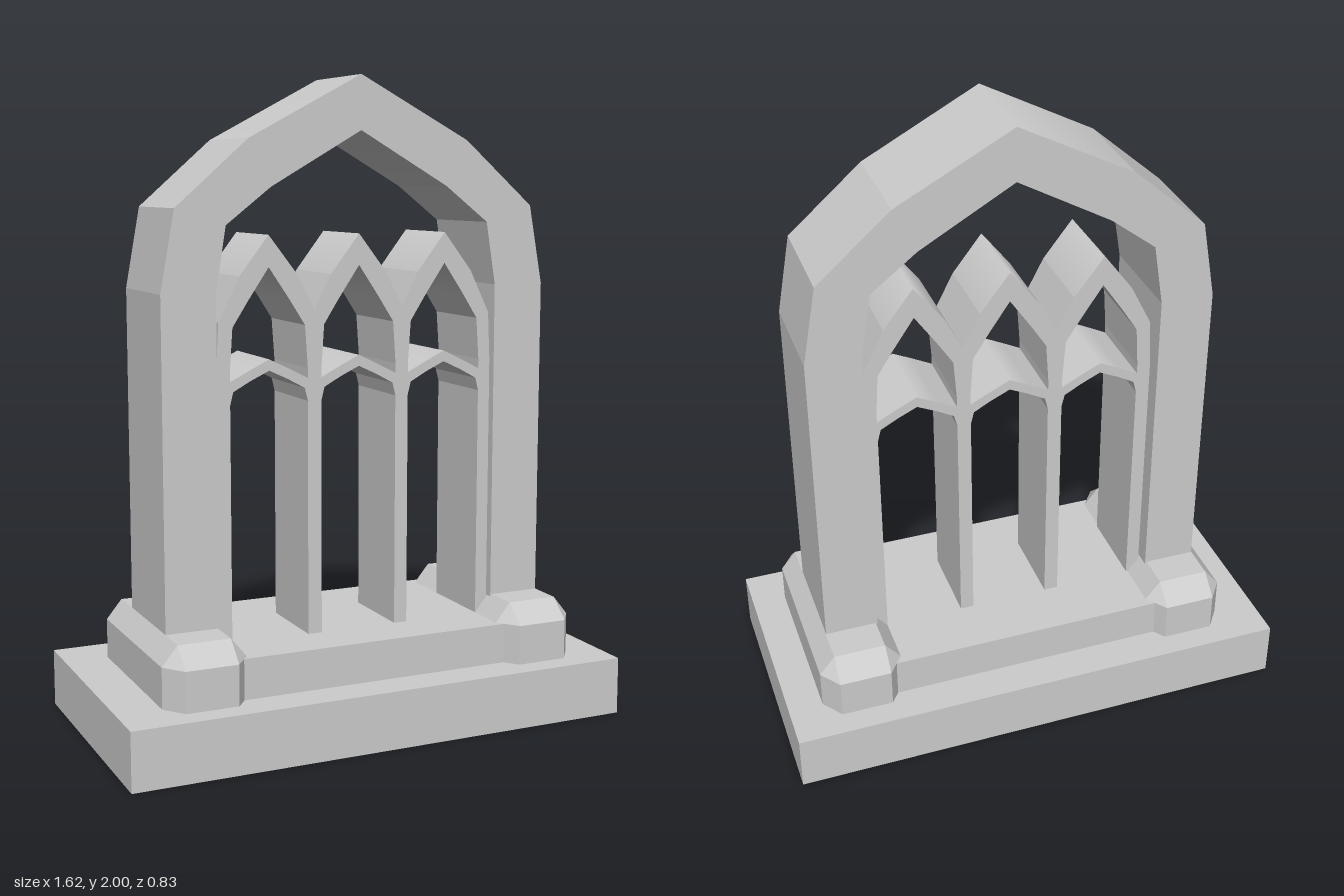
import * as THREE from 'three';
import { ConvexGeometry } from 'three/addons/geometries/ConvexGeometry.js';

const stone = new THREE.MeshStandardMaterial({ color: 0xcccccc });
const CX = 0.0145; // the arch sits slightly off the base centre

const vec = ([x, y]) => new THREE.Vector2(x, y);
const shift = (pts, dx) => pts.map(([x, y]) => [x + dx, y]);

// Completes a left half profile (ending on the axis) with its mirror image
const mirrored = (half) => [...half, ...half.slice(0, -1).reverse().map(([x, y]) => [-x, y])];

function addMesh(group, name, geometry, x = 0, y = 0, z = 0) {
  const mesh = new THREE.Mesh(geometry, stone);
  mesh.name = name;
  mesh.position.set(x, y, z);
  group.add(mesh);
}

// Extrudes a counter-clockwise outline with holes from z0 to z1,
// shading the walls smoothly over the points at the given apex positions
function slab(outline, holes, z0, z1, apexes) {
  const shape = new THREE.Shape(outline.map(vec));
  shape.holes = holes.map((h) => new THREE.Path(h.map(vec)));
  const geometry = new THREE.ExtrudeGeometry(shape, { depth: z1 - z0, bevelEnabled: false });
  const { position, normal } = geometry.attributes;
  for (let i = 0; i < position.count; i++) {
    const onApex = apexes.some((x) => Math.abs(position.getX(i) - x) < 1e-4);
    if (onApex && Math.abs(normal.getZ(i)) < 0.5) normal.setXYZ(i, 0, Math.sign(normal.getY(i)), 0);
  }
  return geometry.translate(0, 0, z0);
}

// Block with cut corners and a chamfered top
function plinthGeometry() {
  const [w, d, tw, td] = [0.131, 0.341, 0.082, 0.275];
  const pts = [];
  for (const sx of [-1, 1]) {
    for (const sz of [-1, 1]) {
      for (const y of [0.18, 0.305]) {
        pts.push(new THREE.Vector3(sx * w, y, sz * td), new THREE.Vector3(sx * tw, y, sz * d));
      }
      pts.push(new THREE.Vector3(sx * tw, 0.365, sz * td));
    }
  }
  return new ConvexGeometry(pts);
}

// Three pointed lights, each with a thin lower arch
function traceryGeometry() {
  const centres = [-0.277, 0.018, 0.311];
  const bottom = 0.3;
  const crown = [[-0.093, 1.41], [0, 1.53], [0.093, 1.41]];
  const lower = mirrored([[-0.125, bottom], [-0.125, 1.03], [-0.115, 1.07], [-0.06, 1.1], [0, 1.128]]);
  const upper = mirrored([[-0.125, 1.1], [-0.125, 1.13], [-0.116, 1.26], [-0.068, 1.335], [0, 1.435]]);
  // lower edge of the upper opening, following the thin arch
  upper.push([0.06, 1.133], [0, 1.162], [-0.06, 1.133]);

  const outline = [[-0.445, bottom], [-0.445, 1.13], [-0.437, 1.277]];
  centres.forEach((c, i) => {
    outline.push(...shift(crown, c));
    if (i < 2) outline.push([c + 0.147, 1.305]);
  });
  outline.push([0.469, 1.277], [0.476, 1.13], [0.476, bottom]);
  for (const c of [...centres].reverse()) outline.push(...shift(lower, c).reverse());
  return slab(outline.reverse(), centres.map((c) => shift(upper, c)), -0.117, 0.146, centres);
}

export function createModel() {
  const model = new THREE.Group();
  model.name = 'gothicWindow';

  // Base and sill
  addMesh(model, 'base', new THREE.BoxGeometry(1.615, 0.18, 0.832), 0, 0.09, 0);
  addMesh(model, 'sill', new THREE.BoxGeometry(0.91, 0.125, 0.602), CX, 0.2425, 0);

  // Plinth under each jamb
  const plinth = plinthGeometry();
  addMesh(model, 'rightPlinth', plinth, CX - 0.553, 0, 0.003);
  addMesh(model, 'leftPlinth', plinth, CX + 0.553, 0, 0.003);

  // Pointed outer arch with its jambs
  const outer = mirrored([[-0.634, 0.33], [-0.634, 1.365], [-0.589, 1.61], [-0.36, 1.81], [0, 2]]);
  const inner = mirrored([[-0.465, 0.33], [-0.465, 1.365], [-0.433, 1.56], [-0.291, 1.67], [0, 1.836]]);
  addMesh(model, 'archFrame', slab([...inner, ...outer.reverse()], [], -0.161, 0.167, [0]), CX);

  // Tracery inside the arch
  addMesh(model, 'tracery', traceryGeometry());

  return model;
}
